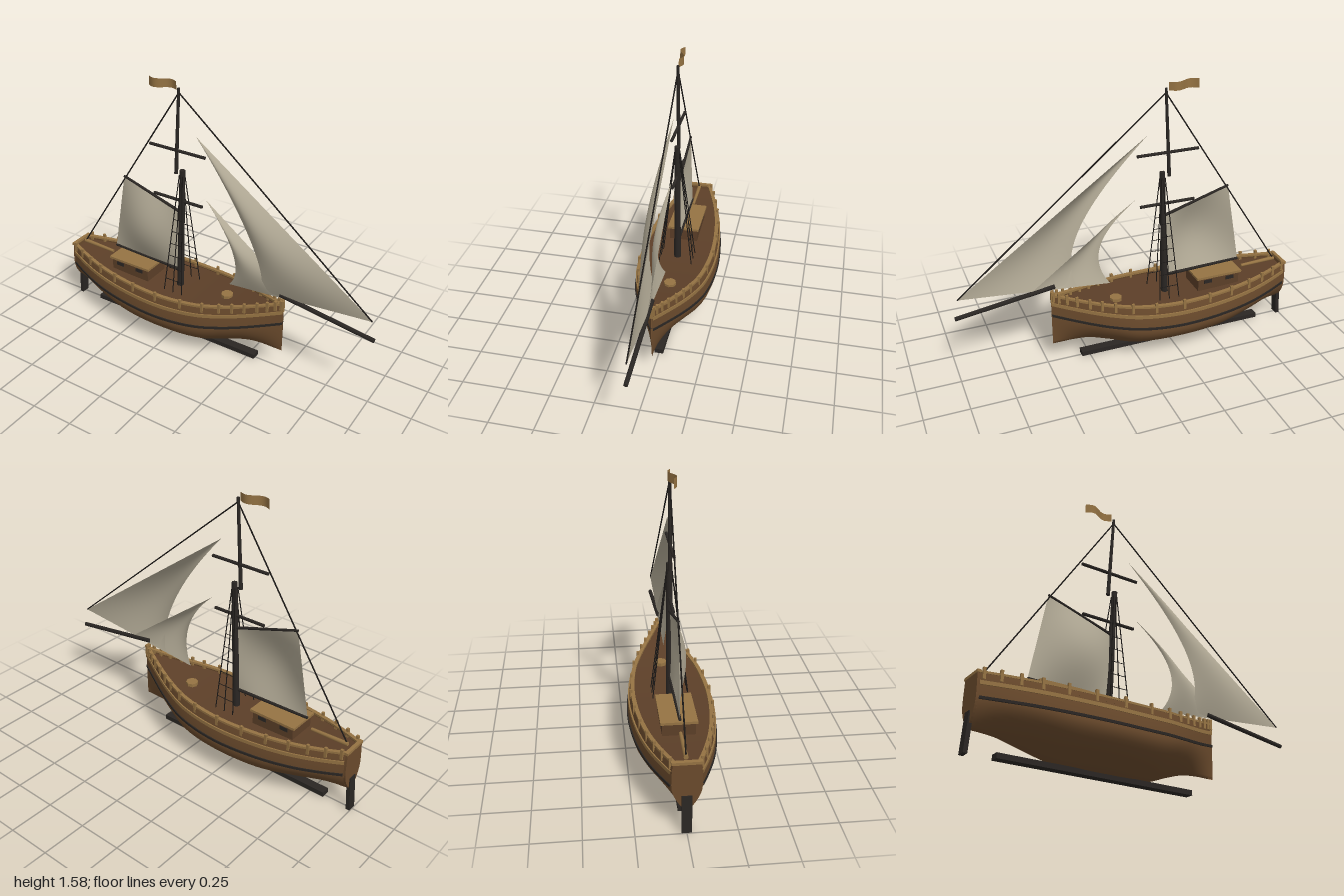
import * as THREE from 'three';
import { ParametricGeometry } from 'three/addons/geometries/ParametricGeometry.js';

const V = (x, y, z = 0) => new THREE.Vector3(x, y, z);
const mat = (color, extra = {}) => new THREE.MeshStandardMaterial({ color, ...extra });
const TWO = { side: THREE.DoubleSide };
const hullMat = mat(0x6a4a2c, TWO), deckMat = mat(0x5c3f28, TWO), tan = mat(0x957343), tanFlat = mat(0x957343, { flatShading: true });
const dark = mat(0x2a2623), darkFlat = mat(0x2a2623, { flatShading: true }), rope = mat(0x1c1917);
const sailMat = mat(0xb0a894, TWO), flagMat = mat(0x957343, TWO);

// Hull lines: x, half width, keel height at each station
const lines = new THREE.CatmullRomCurve3([
  [-0.97, 0.075, 0.12], [-0.85, 0.125, 0.11], [-0.7, 0.175, 0.075], [-0.5, 0.215, 0.03],
  [-0.25, 0.232, 0.02], [0, 0.205, 0.03], [0.15, 0.155, 0.08], [0.25, 0.11, 0.11],
  [0.35, 0.06, 0.12], [0.42, 0.025, 0.12], [0.465, 0.003, 0.12],
].map(p => V(...p)), false, 'centripetal');
const sheer = x => 0.352 + (x > -0.25 ? 0.175 : 0.065) * (x + 0.25) ** 2;
const bulge = v => v < 0.55
  ? Math.sin(Math.max(v, 0) / 0.55 * Math.PI / 2) ** 0.8
  : 1 - 0.09 * ((v - 0.55) / 0.45) ** 2;

// Hull station: position along x, and half width at any height
function station(t) {
  const { x, y: half, z: keel } = lines.getPoint(THREE.MathUtils.clamp(t, 0, 1));
  const top = sheer(x);
  return { x, keel, top, widthAt: y => half * bulge((y - keel) / (top - keel)) };
}

export function createModel() {
  const ship = new THREE.Group();
  ship.name = 'sailingShip';

  const add = (name, geometry, material, parent = ship) => {
    const mesh = new THREE.Mesh(geometry, material);
    mesh.name = name;
    parent.add(mesh);
    return mesh;
  };
  const group = name => {
    const g = new THREE.Group();
    g.name = name;
    ship.add(g);
    return g;
  };
  const box = (name, size, pos, material, parent) => {
    const mesh = add(name, new THREE.BoxGeometry(...size), material, parent);
    mesh.position.set(...pos);
    return mesh;
  };
  // Round bar from a to b
  const rod = (name, a, b, r0, r1, material, parent, sides = 8) => {
    const d = b.clone().sub(a);
    const mesh = add(name, new THREE.CylinderGeometry(r1, r0, d.length(), sides), material, parent);
    mesh.position.copy(a).addScaledVector(d, 0.5);
    mesh.quaternion.setFromUnitVectors(V(0, 1, 0), d.normalize());
    return mesh;
  };

  // Hull shell, from rail to rail around the keel
  add('hull', new ParametricGeometry((u, v, p) => {
    const s = station(u), w = v * 2 - 1;
    const y = s.keel + (s.top - s.keel) * Math.abs(w);
    p.set(s.x, y, Math.sign(w) * s.widthAt(y));
  }, 56, 36), hullMat);

  // Deck
  add('deck', new ParametricGeometry((u, v, p) => {
    const s = station(u), y = s.top - 0.03;
    p.set(s.x, y, s.widthAt(y) * (1 - 2 * v));
  }, 48, 2), deckMat);

  // Transom
  const stern = station(0), outline = [];
  for (let i = -16; i <= 16; i++) {
    const y = stern.keel + (stern.top - stern.keel) * Math.abs(i) / 16;
    outline.push(new THREE.Vector2(Math.sign(i) * stern.widthAt(y), y));
  }
  const transom = new THREE.ExtrudeGeometry(new THREE.Shape(outline), { depth: 0.012, bevelEnabled: false });
  add('transom', transom.rotateY(-Math.PI / 2).translate(stern.x, 0, 0), mat(0x6a4a2c));
  box('transomRail', [0.02, 0.015, 0.15], [-0.975, stern.top + 0.002, 0], tan);

  // Strakes and rails: rectangular strips that follow the hull side
  const strip = (name, dy, height, out, inn, material) => {
    const g = group(name);
    for (const side of [1, -1]) {
      add(name + 'Side', new ParametricGeometry((u, v, p) => {
        const i = Math.round(v * 4), k = (side > 0 ? i : 4 - i) % 4;
        const s = station(u), y = s.top + dy;
        const z = Math.max(s.widthAt(y) + (k < 2 ? out : -inn), 0);
        p.set(s.x, y + (k === 1 || k === 2 ? height / 2 : -height / 2), side * z);
      }, 48, 4), material, g);
    }
  };
  strip('capRail', 0, 0.012, 0.004, 0.018, tanFlat);
  strip('rubbingStrake', -0.055, 0.02, 0.006, 0.005, tanFlat);
  strip('wale', -0.13, 0.014, 0.006, 0.005, darkFlat);

  // Bulwark posts
  const posts = group('bulwarkPosts');
  for (let i = 0; i < 16; i++) {
    const s = station(0.015 + i * 0.064);
    for (const side of [1, -1]) {
      box('post', [0.015, 0.06, 0.014], [s.x, s.top - 0.006, side * (s.widthAt(s.top) + 0.002)], tan, posts);
    }
  }
  box('stemPost', [0.018, 0.07, 0.018], [0.458, 0.425, 0], tan, posts);

  // Keel and rudder
  box('keel', [1.135, 0.028, 0.05], [-0.267, 0.018, 0], dark);
  box('rudder', [0.022, 0.205, 0.05], [-0.982, 0.103, 0], dark).rotation.z = -0.06;

  // Deck house with side windows
  const house = group('deckHouse');
  box('houseWalls', [0.26, 0.09, 0.17], [-0.528, 0.358, 0], deckMat, house);
  box('houseRoof', [0.285, 0.014, 0.19], [-0.528, 0.408, 0], tan, house);
  for (const x of [-0.6, -0.46]) for (const side of [1, -1]) {
    box('window', [0.05, 0.022, 0.006], [x, 0.378, side * 0.085], dark, house);
  }

  // Small deck fittings
  const cover = add('hatchCover', new THREE.CylinderGeometry(0.035, 0.035, 0.02, 8), tanFlat);
  cover.position.set(0.09, 0.35, -0.02);
  rod('tiller', V(-0.94, 0.392), V(-0.72, 0.385), 0.012, 0.009, tan);

  // Masts, yards and bowsprit
  rod('lowerMast', V(-0.222, 0.3), V(-0.192, 1.08), 0.021, 0.016, dark);
  rod('topmast', V(-0.234, 1.05), V(-0.205, 1.55), 0.011, 0.008, dark);
  rod('lowerYard', V(-0.39, 0.888), V(-0.065, 0.888), 0.009, 0.009, dark);
  rod('upperYard', V(-0.405, 1.19), V(-0.045, 1.19), 0.009, 0.009, dark);
  rod('gaff', V(-0.6, 0.935), V(-0.2, 0.81), 0.007, 0.009, dark);
  rod('boom', V(-0.69, 0.443), V(-0.21, 0.428), 0.008, 0.01, dark);
  rod('bowsprit', V(0.44, 0.494), V(0.998, 0.412), 0.013, 0.012, dark);

  // Stays
  rod('foreStay', V(-0.205, 1.525), V(0.975, 0.525), 0.004, 0.004, rope, ship, 6);
  rod('backStay', V(-0.205, 1.525), V(-0.935, 0.395), 0.004, 0.004, rope, ship, 6);

  // Shrouds with ratlines
  const shrouds = group('shrouds');
  for (const side of [1, -1]) {
    const feet = [-0.27, -0.21, -0.15].map(x => V(x, 0.325, side * 0.097));
    const heads = [-0.205, -0.195, -0.185].map(x => V(x, 1.05, side * 0.012));
    feet.forEach((f, i) => rod('shroud', f, heads[i], 0.003, 0.003, rope, shrouds, 5));
    for (let k = 1; k <= 6; k++) {
      const at = i => feet[i].clone().lerp(heads[i], k * 0.105);
      rod('ratline', at(0), at(2), 0.002, 0.002, rope, shrouds, 5);
    }
  }

  // Headsails: straight luff, hollow leech, bellied to one side
  const headsail = (name, peak, tack, clew, hollow, belly) => {
    const leech = new THREE.QuadraticBezierCurve3(clew, hollow, peak);
    add(name, new ParametricGeometry((u, v, p) => {
      p.copy(leech.getPoint(v)).lerp(tack.clone().lerp(peak, v), u);
      p.z = belly * Math.sin(Math.PI * v) * Math.sin(Math.PI * (0.25 + 0.75 * u));
    }, 16, 24), sailMat);
  };
  headsail('jib', V(-0.1, 1.3), V(0.975, 0.525), V(0.31, 0.465), V(0.44, 0.72), 0.065);
  headsail('foreStaysail', V(-0.04, 0.94), V(0.57, 0.485), V(0.115, 0.445), V(0.282, 0.65), 0.05);

  // Gaff mainsail
  add('mainsail', new ParametricGeometry((u, v, p) => {
    p.copy(V(-0.69, 0.443).lerp(V(-0.6, 0.935), v)).lerp(V(-0.215, 0.43).lerp(V(-0.205, 0.812), v), u);
    p.z = 0.06 * Math.sin(Math.PI * u) * Math.sin(Math.PI * v);
  }, 16, 16), sailMat);

  // Waving pennant
  add('pennant', new ParametricGeometry((u, v, p) => {
    p.set(-0.395 + 0.175 * u, 1.53 + 0.006 * u + (0.046 + 0.006 * (1 - u)) * v, 0.018 * Math.sin(u * Math.PI * 2));
  }, 16, 2), flagMat);

  return ship;
}
